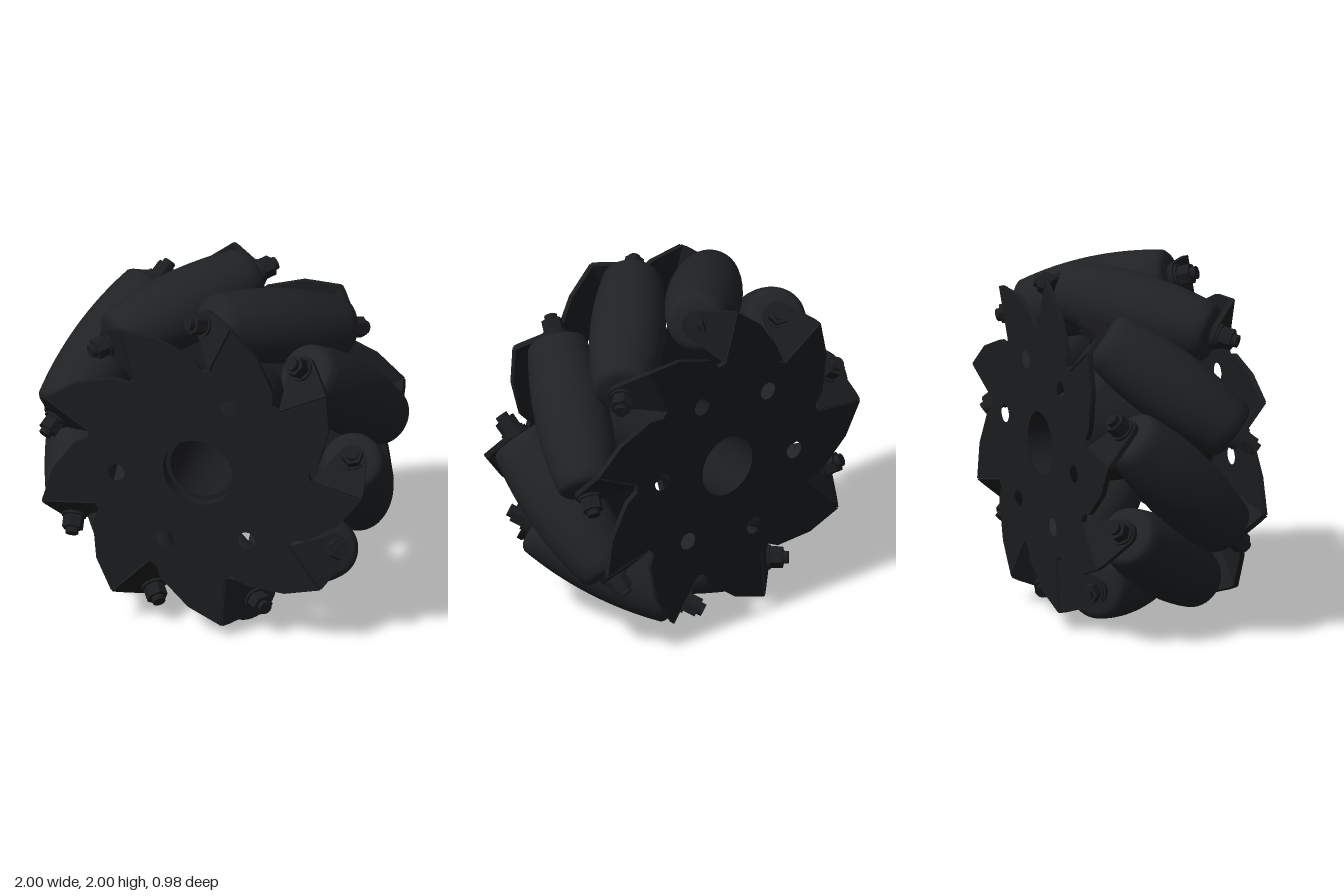
import * as THREE from 'three';
import { toCreasedNormals } from 'three/addons/utils/BufferGeometryUtils.js';

const COUNT = 9;                                   // rollers round the wheel
const STEP = (Math.PI * 2) / COUNT;
const START = THREE.MathUtils.degToRad(-13.7);     // angle of the first roller
const AXIS_R = 0.79;                               // distance of roller axes from the centre
const PLATE_IN = 0.46, PLATE_T = 0.03;             // side plate position and thickness
const BEND = 0.195;                                // sideways offset of each fold line

const rubber = new THREE.MeshStandardMaterial({ color: 0x202224 });
const metal = new THREE.MeshStandardMaterial({ color: 0x1b1c1e });

function add(parent, name, geometry, material) {
  const mesh = new THREE.Mesh(geometry, material);
  mesh.name = name;
  parent.add(mesh);
  return mesh;
}

// Barrel whose outer line lies on the wheel's unit circle
function rollerGeometry() {
  const half = 0.425, n = 16;
  const side = [];
  for (let i = 0; i <= n; i++) {
    const s = -half + (2 * half * i) / n;
    side.push(new THREE.Vector2(Math.sqrt(1 - (s * s) / 2) - AXIS_R, s));
  }
  const end = [[0.03, 0.452], [0.125, 0.452], [0.148, 0.442]];
  const bottom = end.map(([r, s]) => new THREE.Vector2(r, -s));
  const top = end.map(([r, s]) => new THREE.Vector2(r, s)).reverse();
  return toCreasedNormals(new THREE.LatheGeometry([...bottom, ...side, ...top], 40), 0.7);
}

// Saw-toothed side plate with bolt holes and a centre hole
function plateGeometry(holeAngle, boreRadius) {
  const tooth = [[0.69, -0.17], [0.61, -0.2]];
  const crest = [[0.62, BEND], [0.92, BEND], [0.84, 0]];
  const points = [];
  for (let i = 0; i < COUNT; i++) {
    for (const [r, t] of [...crest, ...tooth]) {
      points.push(new THREE.Vector2(r, t).rotateAround(new THREE.Vector2(), -i * STEP));
    }
  }
  const shape = new THREE.Shape(points);
  const hole = (x, y, r) => shape.holes.push(new THREE.Path().absarc(x, y, r, 0, Math.PI * 2, true));
  hole(0, 0, boreRadius);
  for (let i = 0; i < 6; i++) {
    const a = holeAngle + (i * Math.PI) / 3;
    hole(0.47 * Math.cos(a), 0.47 * Math.sin(a), 0.05);
  }
  const g = new THREE.ExtrudeGeometry(shape, { depth: PLATE_T, bevelEnabled: false, curveSegments: 24 });
  g.translate(0, 0, PLATE_IN);
  return toCreasedNormals(g, 0.6);
}

// Ear folded 45 degrees from the plate, square to the roller axis
function earGeometry() {
  const shape = new THREE.Shape();
  shape.moveTo(0.62, -0.01);
  shape.lineTo(0.92, -0.01);
  shape.lineTo(0.915, 0.03);
  shape.absarc(AXIS_R, 0.19, 0.08, 0.35, 2.65, false);
  shape.closePath();
  const g = new THREE.ExtrudeGeometry(shape, { depth: PLATE_T, bevelEnabled: false, curveSegments: 16 });
  g.rotateX(-Math.PI / 4);
  g.translate(0, BEND - 0.005, PLATE_IN);
  return toCreasedNormals(g, 0.6);
}

// Cylinder standing between two heights of the roller axis
function stub(radius, from, to, sides) {
  const g = new THREE.CylinderGeometry(radius, radius, to - from, sides);
  g.translate(0, (from + to) / 2, 0);
  return toCreasedNormals(g, 0.6);
}

export function createModel() {
  const model = new THREE.Group();
  model.name = 'omnidirectionalWheel';
  const wheel = new THREE.Group();
  wheel.name = 'wheel';
  wheel.position.y = 1;
  wheel.rotation.z = START;
  model.add(wheel);

  // Hub tube, stepped wider at the front
  const hub = [[0.18, -0.48], [0.25, -0.46], [0.25, 0.46], [0.205, 0.46], [0.205, 0.4], [0.18, 0.4], [0.18, -0.48]];
  const hubGeometry = new THREE.LatheGeometry(hub.map(([r, z]) => new THREE.Vector2(r, z)), 48);
  hubGeometry.rotateX(Math.PI / 2);
  add(wheel, 'hub', toCreasedNormals(hubGeometry, 0.6), metal);

  // Side plates; the back one is turned half round the first roller's radius
  const holeAngle = THREE.MathUtils.degToRad(20.7);
  add(wheel, 'frontPlate', plateGeometry(holeAngle, 0.205), metal);
  add(wheel, 'backPlate', plateGeometry(-holeAngle, 0.18), metal).rotation.x = Math.PI;

  // Shared geometries for the roller stations
  const roller = rollerGeometry();
  const ear = earGeometry();
  const axle = stub(0.035, -0.47, 0.47, 16);
  const washer = stub(0.068, 0.485, 0.505, 24);
  const nut = stub(0.06, 0.505, 0.575, 6);
  const tip = stub(0.036, 0.575, 0.605, 16);

  for (let i = 0; i < COUNT; i++) {
    const station = new THREE.Group();
    station.name = 'rollerStation';
    station.rotation.z = i * STEP;
    wheel.add(station);

    const axis = new THREE.Group();
    axis.name = 'rollerAssembly';
    axis.position.x = AXIS_R;
    axis.rotation.x = Math.PI / 4;
    station.add(axis);
    add(axis, 'roller', roller, rubber);
    add(axis, 'axle', axle, metal);

    for (const turn of [0, Math.PI]) {
      add(station, 'mountingEar', ear, metal).rotation.x = turn;
      const bolt = new THREE.Group();
      bolt.name = 'bolt';
      bolt.rotation.x = turn;
      axis.add(bolt);
      add(bolt, 'washer', washer, metal);
      add(bolt, 'nut', nut, metal);
      add(bolt, 'boltTip', tip, metal);
    }
  }
  return model;
}
